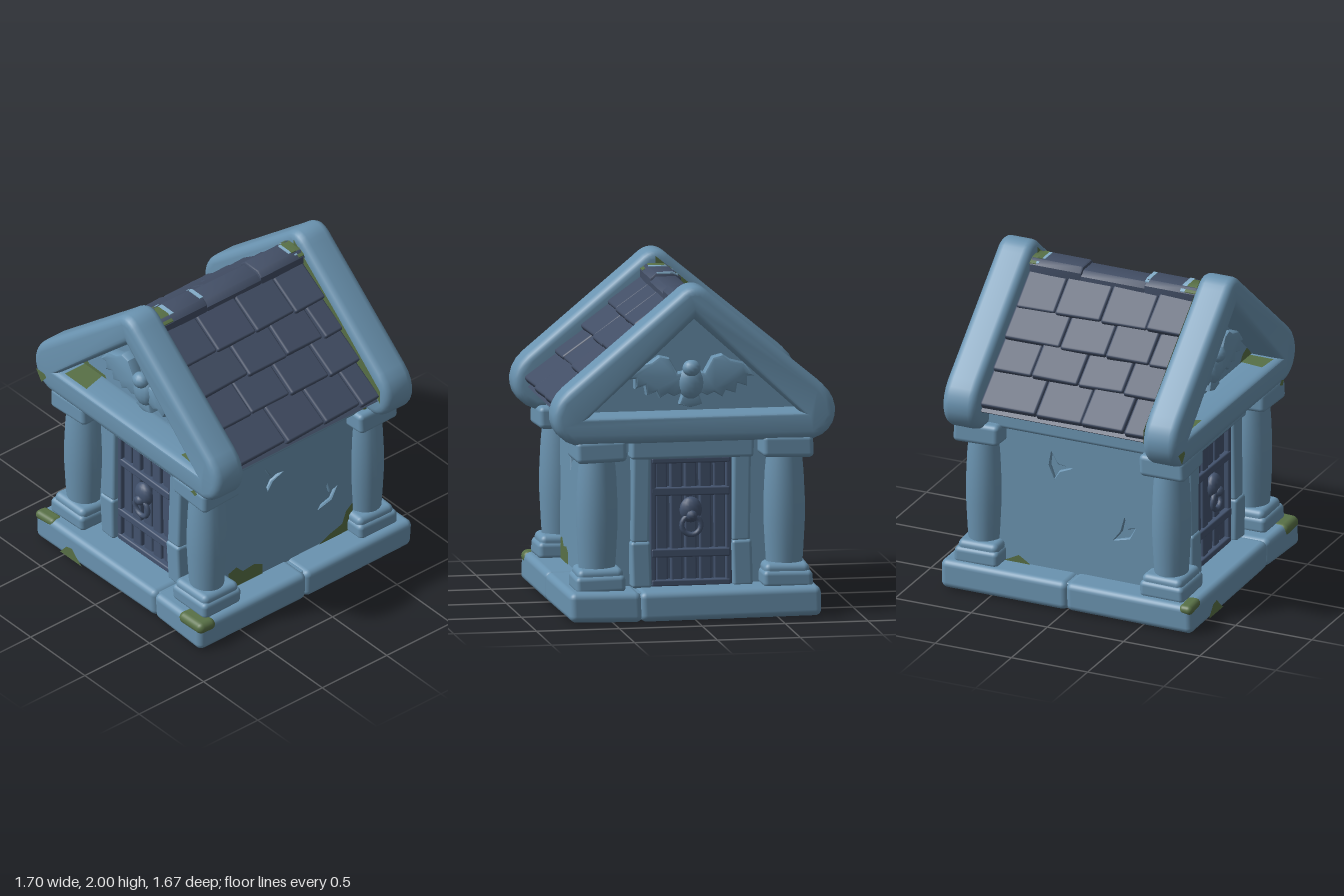
import * as THREE from 'three';
import { RoundedBoxGeometry } from 'three/addons/geometries/RoundedBoxGeometry.js';
import { mergeVertices, toCreasedNormals } from 'three/addons/utils/BufferGeometryUtils.js';

const material = (name, color) => {
  const m = new THREE.MeshStandardMaterial({ color, side: THREE.DoubleSide });
  m.name = name;
  return m;
};

// Small position-based displacement that gives hewn, uneven stone
function wobble(geo, amp) {
  const p = geo.attributes.position;
  for (let i = 0; i < p.count; i++) {
    const x = p.getX(i), y = p.getY(i), z = p.getZ(i);
    p.setXYZ(i,
      x + amp * Math.sin(7 * y + 9 * z + 1),
      y + amp * 0.6 * Math.sin(8 * x + 6 * z),
      z + amp * Math.sin(9 * x + 7 * y + 2));
  }
  return geo;
}

function smooth(geo, angle = 0.75) {
  geo.deleteAttribute('uv');
  geo.deleteAttribute('normal');
  return toCreasedNormals(mergeVertices(geo, 1e-4), angle);
}

const points = pts => pts.map(([x, y]) => new THREE.Vector2(x, y));
const toShape = pts => new THREE.Shape(points(pts));

export function createModel() {
  const stone = material('blue stone', 0x6a93b0);
  const slate = material('dark slate', 0x424e65);
  const iron = material('dark door', 0x43536e);
  const moss = material('moss', 0x587046);
  const chip = material('pale chips', 0x83acc8);

  let seed = 7;
  const rand = () => (seed = (seed * 16807) % 2147483647) / 2147483647;

  const model = new THREE.Group();
  model.name = 'stoneCrypt';

  const add = (parent, name, geo, mat) => {
    const m = new THREE.Mesh(geo, mat);
    m.name = name;
    parent.add(m);
    return m;
  };
  // Rounded block given by its limits on each axis
  const block = (parent, name, [x0, x1], [y0, y1], [z0, z1], r = 0.03, mat = stone, amp = 0.006) => {
    const g = new RoundedBoxGeometry(x1 - x0, y1 - y0, z1 - z0, 3, r);
    g.translate((x0 + x1) / 2, (y0 + y1) / 2, (z0 + z1) / 2);
    return add(parent, name, wobble(g, amp), mat);
  };
  const extrude = (shape, z, depth, bevel, segments = 3) => {
    const g = new THREE.ExtrudeGeometry(shape, {
      depth: depth - 2 * bevel, bevelEnabled: bevel > 0, bevelSize: bevel, bevelThickness: bevel,
      bevelOffset: -bevel, bevelSegments: segments, curveSegments: 8,
    });
    g.translate(0, 0, z + bevel);
    return smooth(g);
  };

  // Base of four slabs around a core
  for (const xs of [[-0.76, 0.335], [0.325, 0.76]])
    for (const zs of [[-0.825, 0.005], [-0.005, 0.825]])
      block(model, 'baseSlab', xs, [0, 0.18], zs, 0.04);
  block(model, 'baseCore', [-0.72, 0.72], [0.006, 0.17], [-0.78, 0.78], 0.01, stone, 0);

  // Walls: an inner core and side slabs with broken-out chips
  block(model, 'wallCore', [-0.562, 0.562], [0.16, 1.1], [-0.57, 0.57], 0.01, stone, 0);
  for (const s of [-1, 1]) {
    const wall = toShape([[-0.57, 0.16], [0.57, 0.16], [0.57, 1.08], [-0.57, 1.08]]);
    const holes = [
      [[-0.17, 0.93], [-0.13, 0.86], [-0.04, 0.85], [-0.12, 0.82], [-0.15, 0.77], [-0.18, 0.85]],
      [[0.24, 0.44], [0.29, 0.5], [0.31, 0.59], [0.33, 0.52], [0.38, 0.54], [0.34, 0.47]],
    ];
    for (const h of holes) wall.holes.push(new THREE.Path(points(h)));
    const side = add(model, 'sideWall', extrude(wall, 0.555, 0.028, 0.008, 1), stone);
    side.rotation.y = s * Math.PI / 2;
  }
  block(model, 'entablature', [-0.655, 0.655], [1.06, 1.226], [-0.6, 0.6], 0.025, stone, 0.004);

  // Attic that closes both gables, and the slate bed under the tiles
  add(model, 'attic', extrude(toShape([[-0.72, 1.2], [0.72, 1.2], [0, 1.8]]), -0.57, 1.14, 0), stone);
  const bed = [[0.06, 1.835], [0.77, 1.2], [0.755, 1.19], [0.06, 1.8]];
  const bedLeft = bed.map(([x, y]) => [-x, y]).reverse();
  add(model, 'roofBed', extrude(toShape([...bed, ...bedLeft]), -0.548, 1.096, 0), slate);

  // One end of the building; the other end is the same, turned round
  function buildFacade() {
    const f = new THREE.Group();
    f.name = 'facade';

    // Rounded gable frame
    const outer = new THREE.Shape();
    outer.moveTo(-0.72, 1.06);
    outer.lineTo(0.72, 1.06);
    outer.bezierCurveTo(0.87, 1.1, 0.9, 1.28, 0.77, 1.39);
    outer.lineTo(0.1, 1.947);
    outer.quadraticCurveTo(0, 2.05, -0.1, 1.947);
    outer.lineTo(-0.77, 1.39);
    outer.bezierCurveTo(-0.9, 1.28, -0.87, 1.1, -0.72, 1.06);
    outer.holes.push(new THREE.Path(points([[-0.63, 1.23], [0, 1.8], [0.63, 1.23]])));
    add(f, 'gableFrame', extrude(outer, 0.545, 0.225, 0.05, 4), stone);

    // Bird relief: scalloped wings, body, head and tail
    const wing = [[0.02, 1.47], [0.08, 1.46], [0.13, 1.55], [0.19, 1.565], [0.24, 1.53], [0.32, 1.51], [0.385, 1.43],
      [0.34, 1.43], [0.34, 1.37], [0.28, 1.39], [0.27, 1.33], [0.21, 1.35], [0.19, 1.31], [0.14, 1.34], [0.1, 1.32], [0.02, 1.36]];
    for (const s of [-1, 1]) {
      const pts = wing.map(([x, y]) => [s * x, y]);
      add(f, 'birdWing', extrude(toShape(s > 0 ? pts.reverse() : pts), 0.56, 0.08, 0.018, 2), stone);
    }
    const ball = (name, y, z, sx, sy, sz) => {
      const m = add(f, name, new THREE.SphereGeometry(1, 14, 10), stone);
      m.position.set(0, y, z);
      m.scale.set(sx, sy, sz);
    };
    ball('birdBody', 1.40, 0.62, 0.08, 0.1, 0.05);
    ball('birdHead', 1.49, 0.645, 0.055, 0.05, 0.05);
    add(f, 'birdTail', extrude(toShape([[-0.07, 1.27], [0, 1.25], [0.07, 1.27], [0.035, 1.37], [-0.035, 1.37]]), 0.56, 0.07, 0.012, 2), stone);

    // Columns with plinths and capitals
    for (const s of [-1, 1]) {
      const span = (a, b) => (s > 0 ? [a, b] : [-b, -a]);
      block(f, 'plinth', span(0.415, 0.715), [0.165, 0.27], [0.465, 0.755], 0.03);
      block(f, 'plinthTop', span(0.425, 0.7), [0.2, 0.31], [0.475, 0.74], 0.035);
      block(f, 'capital', span(0.41, 0.715), [0.95, 1.085], [0.46, 0.755], 0.03);
      const profile = [[0.108, 0.28], [0.116, 0.4], [0.124, 0.55], [0.124, 0.7], [0.117, 0.85], [0.106, 0.97]];
      const column = add(f, 'column', new THREE.LatheGeometry(points(profile), 20), stone);
      column.position.set(s * 0.565, 0, 0.61);
      column.scale.z = 0.93;
      // Door jambs
      block(f, 'doorJambLower', span(0.245, 0.365), [0.17, 0.45], [0.5, 0.655], 0.02);
      block(f, 'doorJambUpper', span(0.248, 0.358), [0.44, 0.97], [0.5, 0.645], 0.02);
    }
    block(f, 'doorLintel', [-0.37, 0.37], [0.945, 1.075], [0.5, 0.665], 0.02);

    // Door of planks, stiles, bars and a ring knocker
    block(f, 'doorBack', [-0.25, 0.25], [0.175, 0.955], [0.5, 0.58], 0.005, iron, 0);
    for (let i = 0; i < 5; i++) {
      const x = -0.176 + i * 0.088;
      block(f, 'doorPlank', [x - 0.037, x + 0.037], [0.18, 0.93], [0.56, 0.597 + 0.008 * (i % 2)], 0.012, iron, 0.007);
    }
    for (const s of [-1, 1]) block(f, 'doorStile', [s * 0.229 - 0.018, s * 0.229 + 0.018], [0.175, 0.95], [0.56, 0.622], 0.01, iron, 0.002);
    for (const [y, h] of [[0.195, 0.02], [0.375, 0.026], [0.745, 0.026], [0.932, 0.018]])
      block(f, 'doorBar', [-0.238, 0.238], [y - h, y + h], [0.56, 0.626], 0.01, iron, 0.003);
    const boss = add(f, 'knockerBoss', new THREE.SphereGeometry(1, 14, 10), iron);
    boss.position.set(0, 0.635, 0.62);
    boss.scale.set(0.068, 0.078, 0.045);
    const snout = add(f, 'knockerSnout', new THREE.SphereGeometry(0.034, 10, 8), iron);
    snout.position.set(0, 0.605, 0.65);
    const ring = add(f, 'knockerRing', new THREE.TorusGeometry(0.058, 0.016, 8, 20), iron);
    ring.position.set(0, 0.545, 0.64);
    return f;
  }
  model.add(buildFacade());
  const back = buildFacade();
  back.name = 'backFacade';
  back.rotation.y = Math.PI;
  model.add(back);

  // Overlapping roof tiles, four courses on each slope
  const courses = [0.24, 0.453, 0.668, 0.912];
  for (const s of [-1, 1]) {
    const slope = new THREE.Group();
    slope.name = 'roofSlope';
    slope.position.y = 1.943;
    slope.rotation.set(0, s > 0 ? 0 : Math.PI, -0.73, 'YXZ');
    courses.forEach((centre, row) => {
      const cuts = row % 2 ? [-0.545, -0.4, -0.12, 0.18, 0.545] : [-0.545, -0.31, -0.01, 0.29, 0.545];
      for (let i = 0; i < 4; i++) {
        const len = 0.275 + 0.02 * (rand() - 0.5);
        const g = wobble(new RoundedBoxGeometry(len, 0.05, cuts[i + 1] - cuts[i] - 0.004, 2, 0.014), 0.008);
        const tile = add(slope, 'roofTile', g, slate);
        tile.position.set(centre, -0.03 + 0.012 * rand(), (cuts[i] + cuts[i + 1]) / 2);
        tile.rotation.set(0.08 * (rand() - 0.5), 0.04 * (rand() - 0.5), 0.1);
      }
    });
    model.add(slope);
  }

  // Low ridge caps, with thin moss and pale chips lying over them
  const ridge = (z0, z1, y) => {
    const pts = [[-0.095, -0.08], [0.095, -0.08], [0.095, -0.03], [0.06, 0], [-0.06, 0], [-0.095, -0.03]];
    add(model, 'ridgeCap', extrude(toShape(pts), z0, z1 - z0, 0.012, 2), slate).position.y = y;
  };
  ridge(-0.55, -0.205, 1.918);
  ridge(-0.215, 0.215, 1.9);
  ridge(0.205, 0.55, 1.918);
  const ridgePatch = (name, x0, x1, z0, z1, y, mat) => {
    const top = x => -Math.max(0, Math.abs(x) - 0.06) * 0.86;
    const xs = [x0, -0.045, 0.045, x1];
    const upper = xs.map(x => [x, top(x) + 0.005]);
    const lower = xs.map(x => [x, top(x) - 0.004]).reverse();
    add(model, name, extrude(toShape([...upper, ...lower]), z0, z1 - z0, 0), mat).position.y = y;
  };
  ridgePatch('ridgeMoss', -0.09, 0.09, -0.546, -0.505, 1.918, moss);
  ridgePatch('ridgeMoss', -0.055, 0.055, -0.51, -0.478, 1.918, moss);
  ridgePatch('ridgeChip', -0.085, 0.075, -0.506, -0.488, 1.917, chip);
  ridgePatch('ridgeChip', -0.05, 0.05, -0.479, -0.46, 1.918, chip);
  ridgePatch('ridgeMoss', -0.09, 0.092, 0.47, 0.546, 1.918, moss);
  ridgePatch('ridgeChip', -0.09, 0.06, 0.44, 0.471, 1.918, chip);
  ridgePatch('ridgeChip', -0.075, 0.05, 0.205, 0.23, 1.918, chip);

  // Thin moss patches
  const patch = (pts, x, y, z, ry = 0, rx = 0) => {
    const m = add(model, 'mossPatch', new THREE.ShapeGeometry(toShape(pts)), moss);
    m.position.set(x, y, z);
    m.rotation.set(rx, ry, 0);
  };
  const quarter = Math.PI / 2;
  patch([[-0.1, -0.04], [0.1, -0.04], [0.05, 0.0], [0.01, 0.04], [-0.04, 0.03]], -0.42, 0.055, 0.834);
  // Gable moss
  patch([[-0.62, 1.235], [-0.4, 1.235], [-0.41, 1.255], [-0.56, 1.26], [-0.58, 1.28]], 0, 0, 0.576);
  patch([[0.46, 1.235], [0.62, 1.235], [0.56, 1.3], [0.5, 1.28]], 0, 0, 0.576);
  patch([[-0.6, -0.73], [-0.4, -0.73], [-0.44, -0.575], [-0.6, -0.575]], 0, 1.235, 0, 0, -quarter);
  patch([[0.46, -0.72], [0.6, -0.73], [0.6, -0.575], [0.48, -0.575]], 0, 1.235, 0, 0, -quarter);
  patch([[-0.05, 0.025], [0.0, -0.05], [0.045, 0.005], [0.03, 0.025]], -0.765, 1.15, 0.773);
  patch([[-0.03, -0.005], [0.01, -0.02], [0.03, 0.005], [0, 0.02]], 0.635, 1.075, 0.768);
  // Wall moss
  patch([[-0.46, 0.18], [-0.2, 0.18], [-0.2, 0.25], [-0.26, 0.28], [-0.35, 0.27], [-0.4, 0.32], [-0.46, 0.3]], 0.59, 0, 0, quarter);
  patch([[0.24, 0.18], [0.5, 0.18], [0.5, 0.37], [0.45, 0.33], [0.42, 0.25], [0.32, 0.22]], 0.59, 0, 0, quarter);
  patch([[-0.48, 0.18], [-0.3, 0.18], [-0.38, 0.23]], -0.59, 0, 0, -quarter);
  patch([[0.48, 1.11], [0.545, 1.08], [0.545, 1.22], [0.5, 1.21]], 0.664, 0, 0, quarter);
  // Moss along the roof beside one gable on each slope
  for (const s of [-1, 1])
    patch([[0, 1.85], [0, 1.965], [s * 0.4, 1.635], [s * 0.8, 1.29], [s * 0.8, 1.2], [s * 0.4, 1.53]], 0, 0, s * -0.537);
  // Moss wrapped around the front corners of the base
  block(model, 'cornerMoss', [0.56, 0.764], [0.11, 0.184], [0.7, 0.829], 0.036, moss);
  block(model, 'cornerMoss', [-0.764, -0.6], [0.125, 0.184], [0.74, 0.829], 0.029, moss);
  return model;
}
